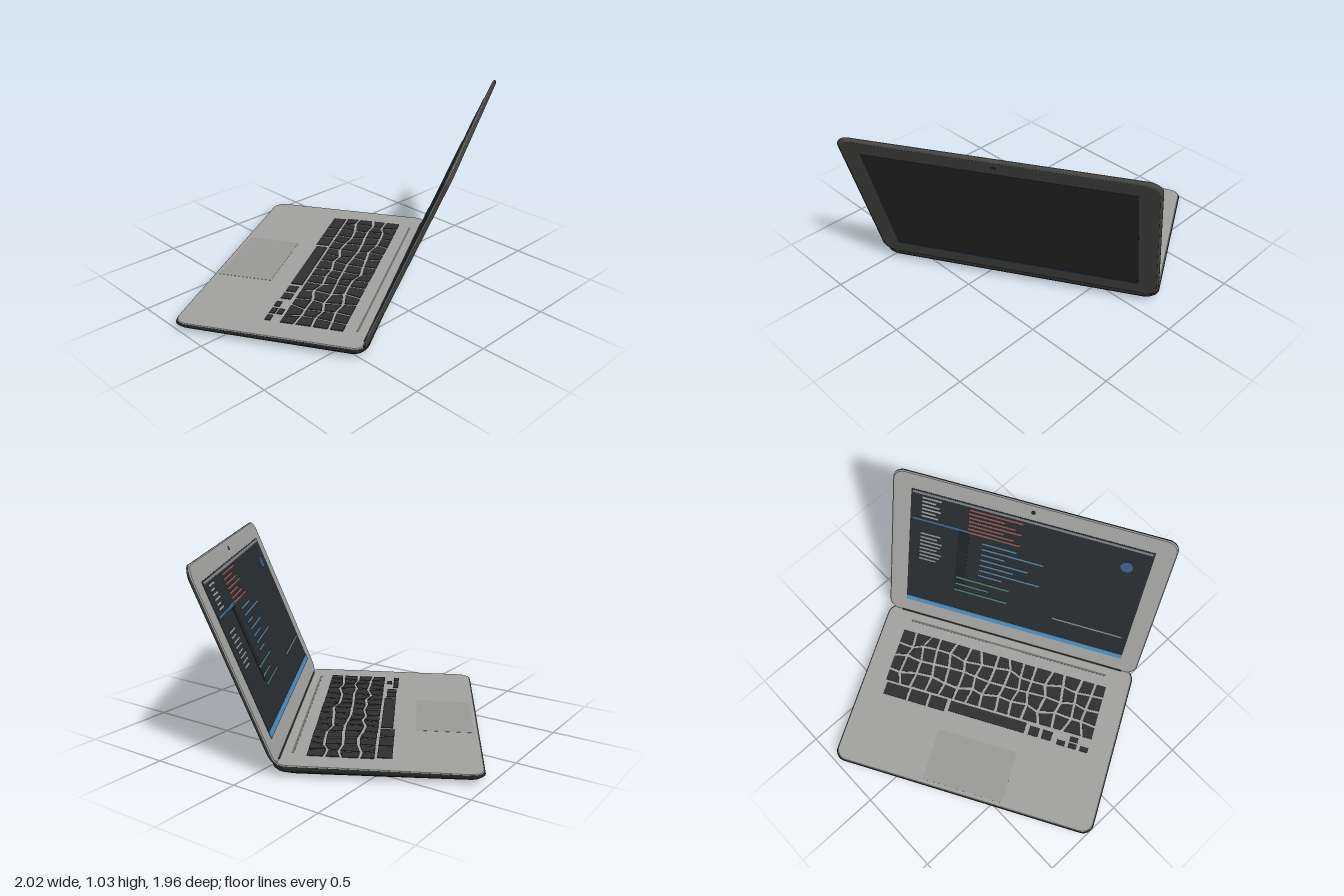
import * as THREE from 'three';
import { mergeGeometries } from 'three/addons/utils/BufferGeometryUtils.js';

const mat = (color) => new THREE.MeshStandardMaterial({ color, side: THREE.DoubleSide, roughness: 0.8 });
const DARK = mat(0x2b2b2b), BACK = mat(0x484847), DECK = mat(0xa3a3a1), KEY = mat(0x302e31), GLASS = mat(0x292c2f);

function add(parent, name, geometry, material, x = 0, y = 0, z = 0) {
  const mesh = new THREE.Mesh(geometry, material);
  mesh.name = name;
  mesh.position.set(x, y, z);
  parent.add(mesh);
  return mesh;
}

// Closed slab in the xz plane, lofted through rounded rectangles given as [inset, height]
function slab(w, d, r, levels, steps = 8) {
  const pos = [], index = [], n = 4 * (steps + 1);
  const ring = (inset, y) => {
    for (let c = 0; c < 4; c++) for (let i = 0; i <= steps; i++) {
      const a = (c + i / steps) * Math.PI / 2;
      const sx = c === 0 || c === 3 ? 1 : -1, sz = c < 2 ? 1 : -1;
      pos.push(sx * (w / 2 - r - inset) + r * Math.cos(a), y, sz * (d / 2 - r - inset) + r * Math.sin(a));
    }
  };
  levels.forEach(([inset, y]) => ring(inset, y));
  for (let l = 0; l < levels.length - 1; l++) for (let i = 0; i < n; i++) {
    const a = l * n + i, b = l * n + (i + 1) % n;
    index.push(a, a + n, b, b, a + n, b + n);
  }
  // Caps have their own rings so the rims stay crisp
  [levels[0], levels[levels.length - 1]].forEach(([inset, y], k) => {
    const s = pos.length / 3;
    ring(inset, y);
    for (let i = 1; i < n - 1; i++) index.push(s, s + i + (k ? 1 : 0), s + i + (k ? 0 : 1));
  });
  const g = new THREE.BufferGeometry();
  g.setAttribute('position', new THREE.Float32BufferAttribute(pos, 3));
  g.setIndex(index);
  g.computeVertexNormals();
  return g;
}

// Irregular keys: a jittered grid whose cells shrink to leave pale gaps
function keyGrid(cols, rows, x0, x1, z0, z1) {
  let seed = 7;
  const rand = () => (seed = (seed * 16807) % 2147483647) / 2147483647 - 0.5;
  const cw = (x1 - x0) / cols, ch = (z1 - z0) / rows, pts = [];
  for (let j = 0; j <= rows; j++) for (let i = 0; i <= cols; i++) {
    const jx = i % cols ? rand() * cw * 0.5 : 0, jz = j % rows ? rand() * ch * 0.4 : 0;
    pts.push(new THREE.Vector2(x0 + i * cw + jx, z0 + j * ch + jz));
  }
  const keys = [];
  for (let j = 0; j < rows; j++) for (let i = 0; i < cols; i++) {
    const k = j * (cols + 1) + i;
    const quad = [pts[k], pts[k + 1], pts[k + cols + 2], pts[k + cols + 1]];
    const mid = quad.reduce((s, p) => s.add(p), new THREE.Vector2()).multiplyScalar(0.25);
    const shape = new THREE.Shape(quad.map((p) => p.clone().lerp(mid, 0.17)));
    keys.push(new THREE.ExtrudeGeometry(shape, { depth: 0.005, bevelEnabled: false }));
  }
  return mergeGeometries(keys).rotateX(Math.PI / 2);
}

function buildBase() {
  const base = new THREE.Group();
  base.name = 'base';
  const depth = 1.03, slope = 0.0155;

  // Wedge-shaped shell, thinner towards the palm rest
  const shell = slab(1.56, depth, 0.065, [[0.11, 0], [0.05, 0.008], [0.012, 0.028], [0, 0.043], [0.004, 0.056]]);
  const p = shell.attributes.position;
  for (let i = 0; i < p.count; i++) {
    const y = p.getY(i);
    p.setY(i, y + slope * p.getZ(i) * (y / 0.058));
  }
  shell.computeVertexNormals();
  add(base, 'baseShell', shell, DARK);

  const deck = new THREE.Group();
  deck.name = 'deck';
  deck.position.y = 0.056;
  deck.rotation.x = -slope;
  base.add(deck);
  add(deck, 'deckPlate', slab(1.552, depth - 0.008, 0.065, [[0, -0.001], [0.004, 0.004]]), DECK);

  // Keyboard: irregular key field, then a bottom row with the space bar
  const off = 0.185; // deck centre lies in front of the hinge frame
  add(deck, 'keys', keyGrid(15, 4, -0.645, 0.65, -0.165 + off, 0.185 + off), KEY, 0, 0.008, 0);
  const row = (name, x, w, z, d) => add(deck, name, new THREE.BoxGeometry(w, 0.005, d), KEY, x, 0.0055, z + off);
  row('spaceBar', -0.01, 0.47, -0.205, 0.065);
  [0.3, 0.42, 0.56].forEach((x, i) => row('modifierKey', x, [0.1, 0.11, 0.14][i], -0.21, 0.075));
  [-0.3, -0.38].forEach((x) => row('modifierKey', x, 0.06, -0.21, 0.055));
  [-0.47, -0.54, -0.61].forEach((x) => row('arrowKey', x, 0.05, -0.23, 0.03));
  row('arrowKey', -0.54, 0.05, -0.19, 0.03);

  // Trackpad
  add(deck, 'trackpad', new THREE.BoxGeometry(0.48, 0.002, 0.31), mat(0x9b9b99), 0, 0.004, -0.515 + off);
  // Hinge groove
  add(deck, 'hingeGroove', new THREE.BoxGeometry(1.24, 0.002, 0.012), mat(0x6d6d6b), 0, 0.004, 0.25 + off);
  base.position.z = off;
  return base;
}

function buildLid() {
  const lid = new THREE.Group();
  lid.name = 'lid';
  const w = 1.565, h = 1.05;
  const panel = (levels) => slab(w, h, 0.065, levels).rotateX(-Math.PI / 2);
  add(lid, 'lidBack', panel([[0.012, -0.014], [0, -0.006], [0, 0.002]]), BACK, 0, h / 2, 0);
  add(lid, 'screenBezel', panel([[0, 0.002], [0.005, 0.008]]), DECK, 0, h / 2, 0);

  // Display on the inside and a dark panel of the same size on the outside
  const strip = (name, x, y, sx, sy, material, z = -0.0105) =>
    add(lid, name, new THREE.BoxGeometry(sx, sy, 0.002), material, x, y, z);
  strip('display', 0, 0.53, 1.35, 0.84, GLASS, -0.0085);
  strip('backPanel', 0, 0.53, 1.35, 0.84, mat(0x292929), 0.0142);
  strip('backPanelStrip', 0, 0.118, 1.33, 0.016, mat(0x22344d), 0.0152);
  strip('taskBar', 0, 0.127, 1.35, 0.034, mat(0x4c8fc0));
  strip('titleBar', 0, 0.937, 1.33, 0.016, mat(0x7c8288));
  strip('divider', 0.42, 0.755, 0.48, 0.014, mat(0x42688a));
  strip('sideColumn', 0.36, 0.53, 0.06, 0.42, mat(0x202328));

  // Rows of coloured bars as screen content
  const rows = (name, x, top, n, step, widths, color) => {
    const m = mat(color);
    for (let i = 0; i < n; i++) {
      const sx = widths[i % widths.length];
      strip(name, x - sx / 2, top - i * step, sx, 0.012, m, -0.0115);
    }
  };
  rows('listRow', 0.61, 0.91, 6, 0.025, [0.11, 0.08, 0.1], 0xa0a4a8);
  rows('listRow', 0.61, 0.66, 8, 0.027, [0.12, 0.1, 0.13], 0x94989c);
  rows('codeRow', 0.34, 0.91, 7, 0.026, [0.3, 0.2, 0.26], 0x8c5a55);
  rows('codeRow', 0.25, 0.7, 7, 0.04, [0.2, 0.36, 0.14, 0.28], 0x5580a0);
  rows('codeRow', 0.38, 0.4, 3, 0.05, [0.32, 0.2], 0x4d8577);
  rows('statusRow', -0.22, 0.285, 1, 0, [0.42], 0x8a8e92);

  const disc = (name, r, x, y, z, material) =>
    add(lid, name, new THREE.CylinderGeometry(r, r, 0.002, 20).rotateX(Math.PI / 2), material, x, y, z);
  disc('screenIcon', 0.035, -0.55, 0.81, -0.0105, mat(0x3a5d85));
  disc('camera', 0.012, 0, 1.0, -0.0085, DARK);
  disc('cameraBack', 0.012, 0, 1.0, 0.0142, DARK);

  lid.position.set(0, 0.058, 0.312);
  lid.rotation.x = 0.382;
  return lid;
}

export function createModel() {
  const laptop = new THREE.Group();
  laptop.name = 'laptop';
  const base = buildBase();
  base.position.z = -0.185;
  laptop.add(base, buildLid());

  // Hinge barrel between base and lid
  add(laptop, 'hinge', new THREE.CylinderGeometry(0.018, 0.018, 1.4, 16).rotateZ(Math.PI / 2), DARK, 0, 0.055, 0.315);

  // The open laptop stands turned on the ground
  laptop.rotation.y = 0.52;
  const model = new THREE.Group();
  model.name = 'model';
  model.add(laptop);
  return model;
}
